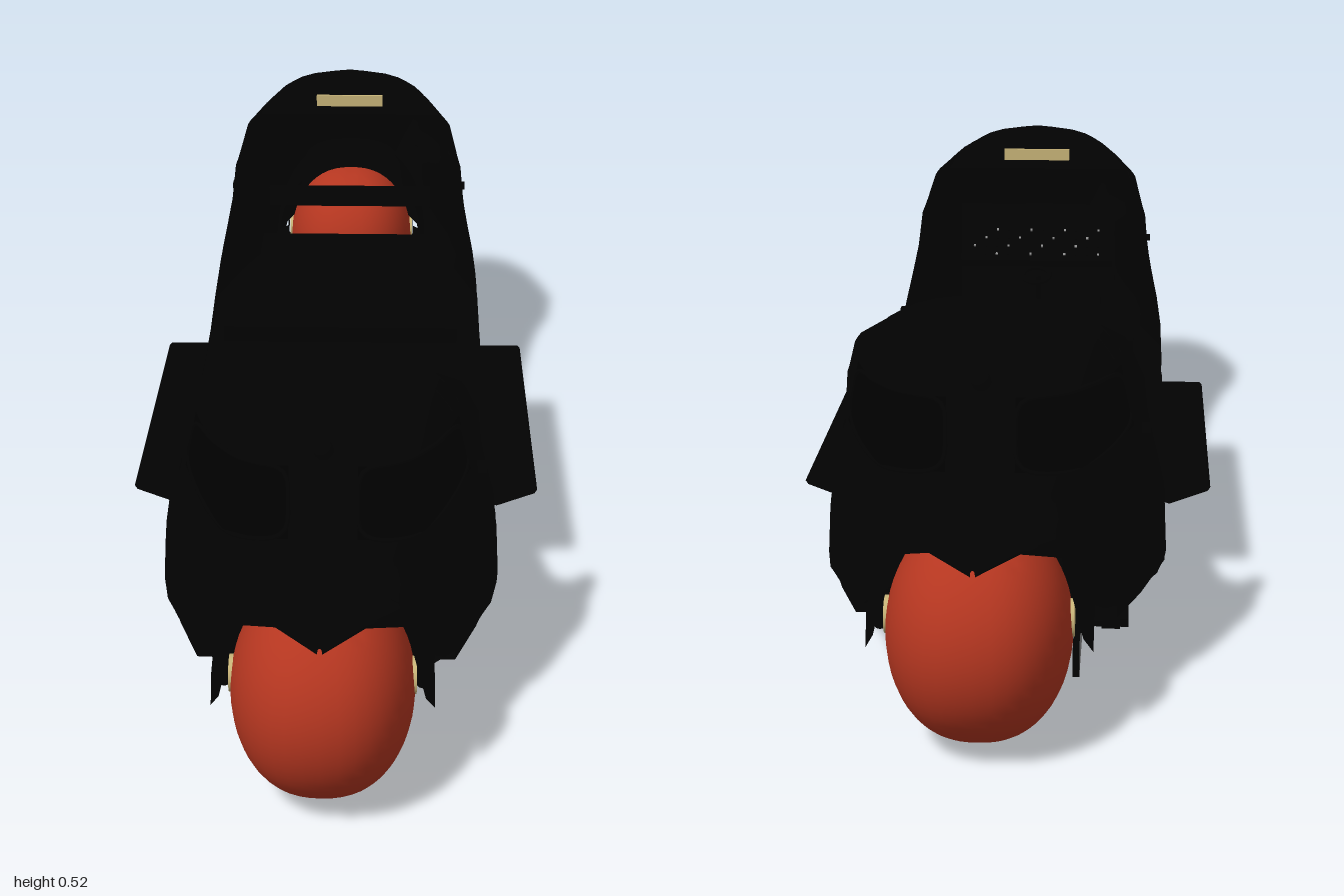
import * as THREE from 'three';
import { toCreasedNormals } from 'three/addons/utils/BufferGeometryUtils.js';

const mat = (name, color, side = THREE.DoubleSide) => {
  const m = new THREE.MeshStandardMaterial({ color, side });
  m.name = name;
  return m;
};

// Surface through rows of points, all rows the same length
function loft(rows) {
  const n = rows[0].length, idx = [];
  for (let i = 0; i < rows.length - 1; i++)
    for (let j = 0; j < n - 1; j++) {
      const a = i * n + j, b = a + n;
      idx.push(a, b, a + 1, b, b + 1, a + 1);
    }
  const g = new THREE.BufferGeometry();
  g.setAttribute('position', new THREE.Float32BufferAttribute(rows.flat(2), 3));
  g.setIndex(idx);
  return toCreasedNormals(g, 0.7);
}

const toShape = pts => new THREE.Shape(pts.map(p => new THREE.Vector2(...p)));
const extrude = (shape, depth) => new THREE.ExtrudeGeometry(shape, { depth, bevelEnabled: false });

// Linear lookup in a table of [key, v1, v2, ...]
function lookup(table, k) {
  let i = 0;
  while (i < table.length - 2 && k > table[i + 1][0]) i++;
  const a = table[i], b = table[i + 1];
  const t = THREE.MathUtils.clamp((k - a[0]) / (b[0] - a[0]), 0, 1);
  return a.slice(1).map((v, j) => v + (b[j + 1] - v) * t);
}

// Relative half width of the hull from its base (0) to the crown (1)
const SECTION = [[0, 1], [0.18, 0.985], [0.3, 0.955], [0.5, 0.885], [0.68, 0.865], [0.81, 0.82],
  [0.88, 0.72], [0.929, 0.61], [0.965, 0.46], [0.987, 0.3], [1, 0]];
// z, half width, base y, crown y, height where the open side is cut
const HULL = [
  [0, 0.235, 0.12, 0.525, 0.16], [0.2, 0.235, 0.12, 0.525, 0.16], [0.3, 0.235, 0.12, 0.525, 0.167],
  [0.4, 0.235, 0.122, 0.525, 0.195], [0.46, 0.235, 0.125, 0.525, 0.24], [0.5, 0.235, 0.127, 0.525, 0.295],
  [0.515, 0.234, 0.128, 0.525, 0.335], [0.54, 0.232, 0.13, 0.525, 0.39], [0.6, 0.222, 0.13, 0.525, 0.46],
  [0.64, 0.208, 0.132, 0.525, 0.49], [0.641, 0.208, 0.132, 0.525, 0.525], [0.7, 0.188, 0.135, 0.524, 0.524],
  [0.75, 0.17, 0.14, 0.508, 0.508], [0.79, 0.154, 0.152, 0.483, 0.483], [0.815, 0.142, 0.17, 0.457, 0.457],
  [0.842, 0.105, 0.2, 0.35, 0.35]];

function hullX(y, z) {
  const [w, yb, top] = lookup(HULL, z);
  return w * lookup(SECTION, (y - yb) / (top - yb))[0];
}

// z where the hull has half width x at height y
function hullZ(x, y) {
  let lo = 0.6, hi = 0.842;
  for (let i = 0; i < 24; i++) {
    const mid = (lo + hi) / 2;
    if (hullX(y, mid) > x) lo = mid; else hi = mid;
  }
  return lo;
}

// Ball with its sides slightly squared off
function ballGeometry() {
  const g = new THREE.SphereGeometry(1, 40, 28), p = g.attributes.position;
  for (let i = 0; i < p.count; i++) {
    const x = p.getX(i);
    p.setXYZ(i, 0.117 * Math.sign(x) * Math.abs(x) ** 0.85, p.getY(i) * 0.142, p.getZ(i) * 0.142);
  }
  return toCreasedNormals(g, 1);
}

export function createModel() {
  const black = mat('black paint', 0x020202);
  const glass = mat('dark glass', 0x000000);
  const red = mat('red wheel', 0xb43620, THREE.FrontSide);
  const cream = mat('cream trim', 0xc8b478);
  const grey = mat('grey plate', 0x8a8a8a);
  const root = new THREE.Group();
  root.name = 'vehicle';

  const add = (parent, name, geo, m, x = 0, y = 0, z = 0) => {
    const mesh = new THREE.Mesh(geo, m);
    mesh.name = name;
    mesh.position.set(x, y, z);
    parent.add(mesh);
    return mesh;
  };
  const box = (parent, name, w, h, d, x, y, z, m = black) =>
    add(parent, name, new THREE.BoxGeometry(w, h, d), m, x, y, z);
  const rod = (parent, name, pts, r) => {
    for (let i = 0; i < pts.length - 1; i++) {
      const a = new THREE.Vector3(...pts[i]), b = new THREE.Vector3(...pts[i + 1]);
      const mesh = add(parent, name, new THREE.CylinderGeometry(r, r, a.distanceTo(b), 12), black);
      mesh.position.copy(a).add(b).multiplyScalar(0.5);
      mesh.quaternion.setFromUnitVectors(new THREE.Vector3(0, 1, 0), b.sub(a).normalize());
    }
  };

  // One half of the vehicle, from the middle to the wheel
  function makeEnd(name) {
    const g = new THREE.Group();
    g.name = name;
    root.add(g);

    for (const s of [1, -1]) {
      // Hull side, closing into the roof past the open cockpit
      add(g, 'hullSide', loft(HULL.map(([z, w, yb, top, h]) => {
        const row = [], uMax = (h - yb) / (top - yb);
        for (let i = 0; i <= 24; i++) {
          const u = uMax * (1 - (1 - i / 24) ** 1.6);
          row.push([s * w * lookup(SECTION, u)[0], yb + u * (top - yb), z]);
        }
        return row;
      })), black);

      // Inward flange along the lower edge, and floor beside the wheel
      add(g, 'lowerFlange', loft(HULL.filter(r => r[0] >= 0.5 && r[0] < 0.76).map(([z, w, yb]) =>
        [[s * w, yb, z], [s * Math.max(w - 0.085, 0.125), 0.107, z]])), black);
      add(g, 'wheelWell', loft(HULL.filter(r => r[0] >= 0.7 && r[0] < 0.82).map(([z, w, yb]) =>
        [[s * w, yb, z], [s * 0.119, yb + 0.012, z], [s * 0.119, yb + 0.06, z]])), black);

      // Wraparound corner window and its frame, following the hull
      const point = (u, v) => {
        const y = 0.348 + 0.09 * v, x = 0.04 + u * (0.146 - 0.018 * v);
        return [s * (x + 0.003), y, hullZ(x, y) + 0.003];
      };
      const rows = [], frame = [];
      for (let i = 0; i <= 14; i++) {
        rows.push([]);
        for (let j = 0; j <= 6; j++) rows[i].push(point(i / 14, j / 6));
      }
      add(g, 'cornerWindow', loft(rows), glass);
      for (let i = 0; i < 40; i++) {
        const a = i / 40 * Math.PI * 2, c = Math.cos(a), d = Math.sin(a);
        frame.push(new THREE.Vector3(...point(0.5 + 0.5 * Math.sign(c) * Math.abs(c) ** 0.45,
          0.5 + 0.52 * Math.sign(d) * Math.abs(d) ** 0.45)));
      }
      add(g, 'windowFrame', new THREE.TubeGeometry(new THREE.CatmullRomCurve3(frame, true), 60, 0.003, 5, true), black);

      // Small side handle, wheel hub and skid arm
      box(g, 'sideHandle', 0.012, 0.006, 0.03, s * 0.205, 0.335, 0.6);
      add(g, 'hubCap', new THREE.CylinderGeometry(0.024, 0.024, 0.008, 20).rotateZ(Math.PI / 2), cream, s * 0.1145, 0.165, 0.857);
      rod(g, 'skidArm', [[s * 0.142, 0.085, 0.61], [s * 0.142, 0.03, 0.49]], 0.0065);
      rod(g, 'skidHub', [[s * 0.135, 0.027, 0.49], [s * 0.184, 0.027, 0.49]], 0.019);
      rod(g, 'skidHubRing', [[s * 0.146, 0.027, 0.49], [s * 0.172, 0.027, 0.49]], 0.022);
      rod(g, 'skidAxle', [[s * 0.115, 0.027, 0.49], [s * 0.14, 0.027, 0.49]], 0.009);
      rod(g, 'wheelFork', [[s * 0.13, 0.09, 0.6], [s * 0.126, 0.12, 0.7], [s * 0.126, 0.15, 0.85]], 0.008);
    }
    box(g, 'skidCrossbar', 0.3, 0.024, 0.03, 0, 0.08, 0.61);
    rod(g, 'crossbarMount', [[0, 0.08, 0.61], [0, 0.13, 0.56]], 0.02);

    // Hull nose and lintel over the cockpit opening
    const outline = (w, yb, top, u0) => {
      const p = SECTION.filter(r => r[0] >= u0).map(([u, f]) => [w * f, yb + u * (top - yb)]);
      return toShape([...p, ...p.slice(0, -1).reverse().map(([x, y]) => [-x, y])]);
    };
    add(g, 'hullNose', new THREE.ShapeGeometry(outline(0.105, 0.2, 0.35, 0)), black, 0, 0, 0.842);
    add(g, 'roofLintel', extrude(outline(0.199, 0.132, 0.523, 0.81), 0.01), black, 0, 0, 0.665);
    box(g, 'roofLight', 0.12, 0.02, 0.006, 0, 0.476, 0.661, cream);
    add(g, 'headLamp', new THREE.SphereGeometry(0.013, 16, 10), black, 0, 0.457, 0.815);

    add(g, 'ballWheel', ballGeometry(), red, 0, 0.15, 0.858);

    // Beaked fender: z, half width, lower y, top y
    const fender = [[0.74, 0.135, 0.16, 0.325], [0.8, 0.142, 0.15, 0.345], [0.87, 0.142, 0.125, 0.337],
      [0.89, 0.13, 0.15, 0.328], [0.908, 0.104, 0.262, 0.317], [0.94, 0.055, 0.277, 0.298], [0.975, 0.003, 0.26, 0.268]];
    add(g, 'fender', loft(fender.map(([z, w, yl, top]) => {
      const row = [];
      for (let i = 0; i <= 20; i++) {
        const a = Math.PI * i / 20, c = Math.cos(a);
        row.push([w * Math.sign(c) * Math.abs(c) ** 0.75, yl + (top - yl) * Math.sin(a) ** 0.85, z]);
      }
      return row;
    })), black);
    return g;
  }
  const front = makeEnd('frontEnd');
  const rear = makeEnd('rearEnd');
  rear.rotation.y = Math.PI;

  // Deck with tapered ends
  const deck = toShape([[0.233, -0.52], [0.233, 0.52], [0.2, 0.65], [0.17, 0.74], [-0.17, 0.74], [-0.2, 0.65],
    [-0.233, 0.52], [-0.233, -0.52], [-0.2, -0.65], [-0.17, -0.74], [0.17, -0.74], [0.2, -0.65]]);
  add(root, 'deck', extrude(deck, 0.03).rotateX(Math.PI / 2), black, 0, 0.15, 0);

  for (const s of [1, -1]) {
    box(root, 'underRail', 0.03, 0.016, 1.1, s * 0.12, 0.121, 0);
    // Hollow folded running board
    const board = toShape([[0.228, 0.151], [0.298, 0.151], [0.302, 0.147], [0.298, 0.141], [0.242, 0.12], [0.228, 0.124]]
      .map(([x, y]) => [s * x, y]));
    board.holes.push(toShape([[0.24, 0.144], [0.286, 0.144], [0.242, 0.127], [0.234, 0.13]].map(([x, y]) => [s * x, y])));
    add(root, 'runningBoard', extrude(board, 0.56), black, 0, 0, -0.28);
    // Plates trailing behind the skid hubs: grey faces, black edges
    for (const z of [0.405, -0.575])
      box(root, 'skidPlate', 0.009, 0.047, 0.175, s * 0.115, 0.026, z, [grey, grey, black, black, black, black]);
    rod(root, 'benchLeg', [[s * 0.15, 0.15, 0], [s * 0.15, 0.25, 0]], 0.014);
  }

  // Double-sided bench: both seats and the shared backrest in one profile
  const half = [[0.012, 0.222], [0.05, 0.24], [0.087, 0.238], [0.087, 0.256], [0.03, 0.258], [0.01, 0.272],
    [0.015, 0.3], [0.013, 0.325], [0.007, 0.346]];
  const bench = toShape([...half, ...half.map(([z, y]) => [-z, y]).reverse()]);
  add(root, 'bench', extrude(bench, 0.37).rotateY(Math.PI / 2), black, -0.185, 0, 0);

  // Front cockpit: bulkhead, sloped dashboard with buttons, steering wheel
  box(front, 'bulkhead', 0.29, 0.205, 0.008, 0, 0.2675, 0.719);
  const dash = new THREE.Group();
  dash.name = 'dashboard';
  dash.position.set(0, 0.3, 0.68);
  dash.rotation.x = 0.8;
  front.add(dash);
  box(dash, 'dashPanel', 0.28, 0.08, 0.02, 0, 0, 0);
  for (let i = 0; i < 12; i++)
    for (let j = 0; j < 4; j++)
      box(dash, 'dashButton', 0.004, 0.004, 0.004, -0.115 + i * 0.021, -0.027 + j * 0.018, -0.011, (i + j) % 3 ? black : grey);
  rod(front, 'steeringColumn', [[0, 0.15, 0.66], [0, 0.25, 0.65]], 0.008);
  const wheel = add(front, 'steeringWheel', new THREE.TorusGeometry(0.025, 0.004, 8, 24), black, 0, 0.25, 0.65);
  wheel.rotation.x = 1.2;

  // Rear cockpit: bench with a low backrest
  box(rear, 'rearSeat', 0.32, 0.03, 0.1, 0, 0.2, 0.62);
  box(rear, 'rearSeatBase', 0.3, 0.04, 0.06, 0, 0.17, 0.63);
  box(rear, 'rearBackrest', 0.3, 0.035, 0.015, 0, 0.285, 0.685);
  return root;
}
